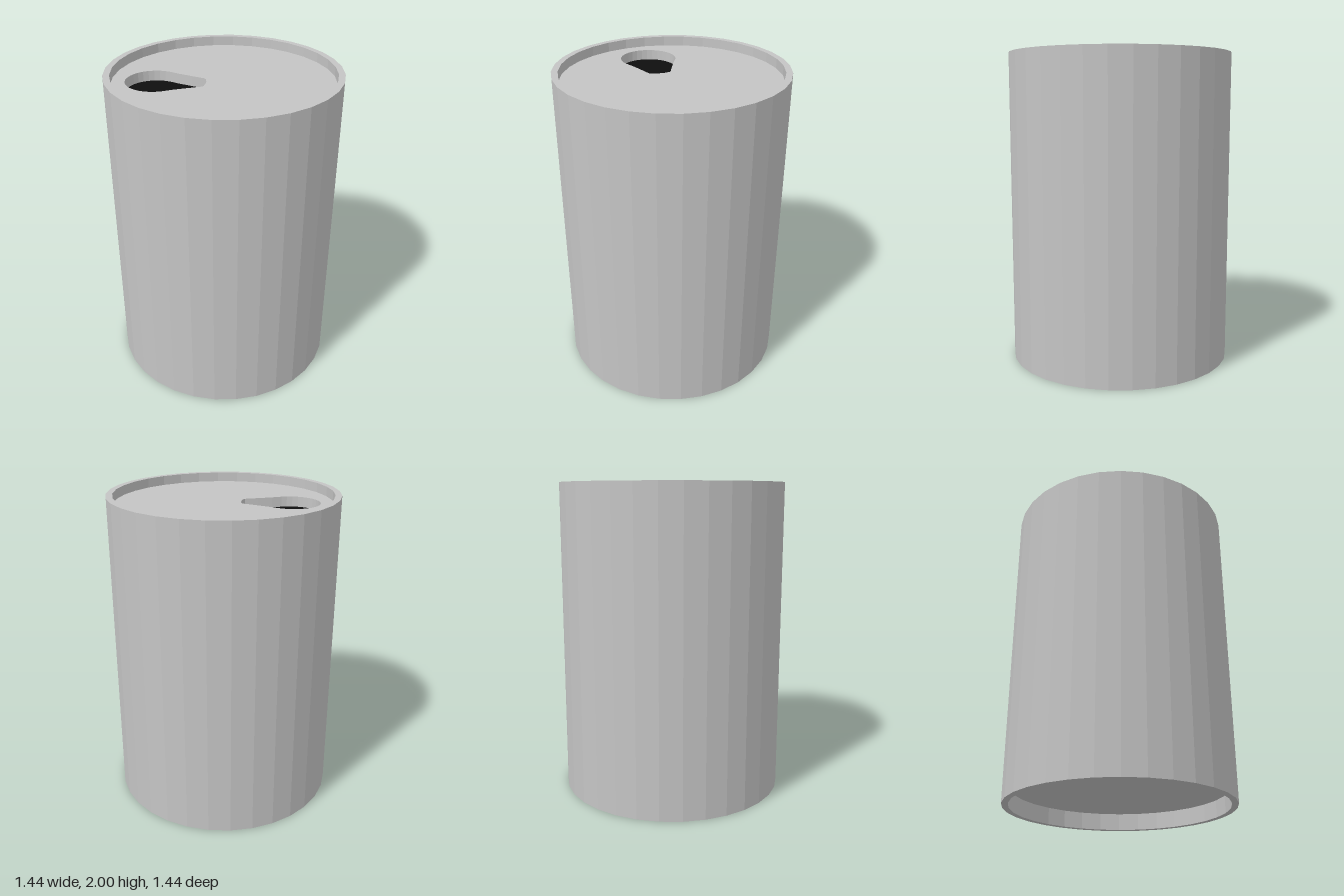
import * as THREE from 'three';

const SIDES = 32, OUTER = 0.72, INNER = 0.68, LID_Y = 1.94, LID_DEPTH = 0.065;

// Teardrop outline of the drinking hole: round end at -x, narrow end towards the middle
function openingPoints() {
  const cx = -0.417, cz = 0.042, r = 0.178;
  const points = [];
  for (let i = 0; i <= 20; i++) {
    const a = THREE.MathUtils.degToRad(66 + (228 * i) / 20);
    points.push(new THREE.Vector2(cx + r * Math.cos(a), -cz + r * Math.sin(a)));
  }
  const taper = [[-0.287, 0.134], [-0.2, 0.099], [-0.12, 0.068], [-0.112, 0.055], [-0.105, 0.022]];
  for (const [x, d] of taper) points.push(new THREE.Vector2(x, -cz - d));
  for (const [x, d] of taper.reverse()) points.push(new THREE.Vector2(x, -cz + d));
  return points;
}

export function createModel() {
  const group = new THREE.Group();
  const metal = new THREE.MeshStandardMaterial({ color: 0xc4c4c4, flatShading: true });
  metal.name = 'metal';
  const dark = new THREE.MeshStandardMaterial({ color: 0x0f0f0f });
  dark.name = 'darkInside';

  const add = (name, geometry, material, y = 0) => {
    const mesh = new THREE.Mesh(geometry, material);
    mesh.name = name;
    mesh.position.y = y;
    group.add(mesh);
  };

  // Can body: recessed base, bottom rim, outer wall, top rim and inner lip
  const profile = [
    [0, 0.11], [INNER, 0.11], [INNER, 0], [OUTER, 0],
    [OUTER, 2], [INNER, 2], [INNER, LID_Y],
  ].map(([x, y]) => new THREE.Vector2(x, y));
  add('canBody', new THREE.LatheGeometry(profile, SIDES), metal);

  // Sunken lid with the drinking hole cut through it
  const rim = [];
  for (let i = 0; i < SIDES; i++) {
    const a = (i / SIDES) * Math.PI * 2;
    rim.push(new THREE.Vector2(INNER * Math.cos(a), INNER * Math.sin(a)));
  }
  const lidShape = new THREE.Shape(rim);
  lidShape.holes.push(new THREE.Path(openingPoints()));
  const lid = new THREE.ExtrudeGeometry(lidShape, { depth: LID_DEPTH, bevelEnabled: false });
  add('lid', lid.rotateX(-Math.PI / 2), metal, LID_Y - LID_DEPTH);

  // Dark floor seen through the hole
  const floor = new THREE.ShapeGeometry(new THREE.Shape(openingPoints()));
  add('openingFloor', floor.rotateX(-Math.PI / 2), dark, LID_Y - LID_DEPTH + 0.001);

  return group;
}
